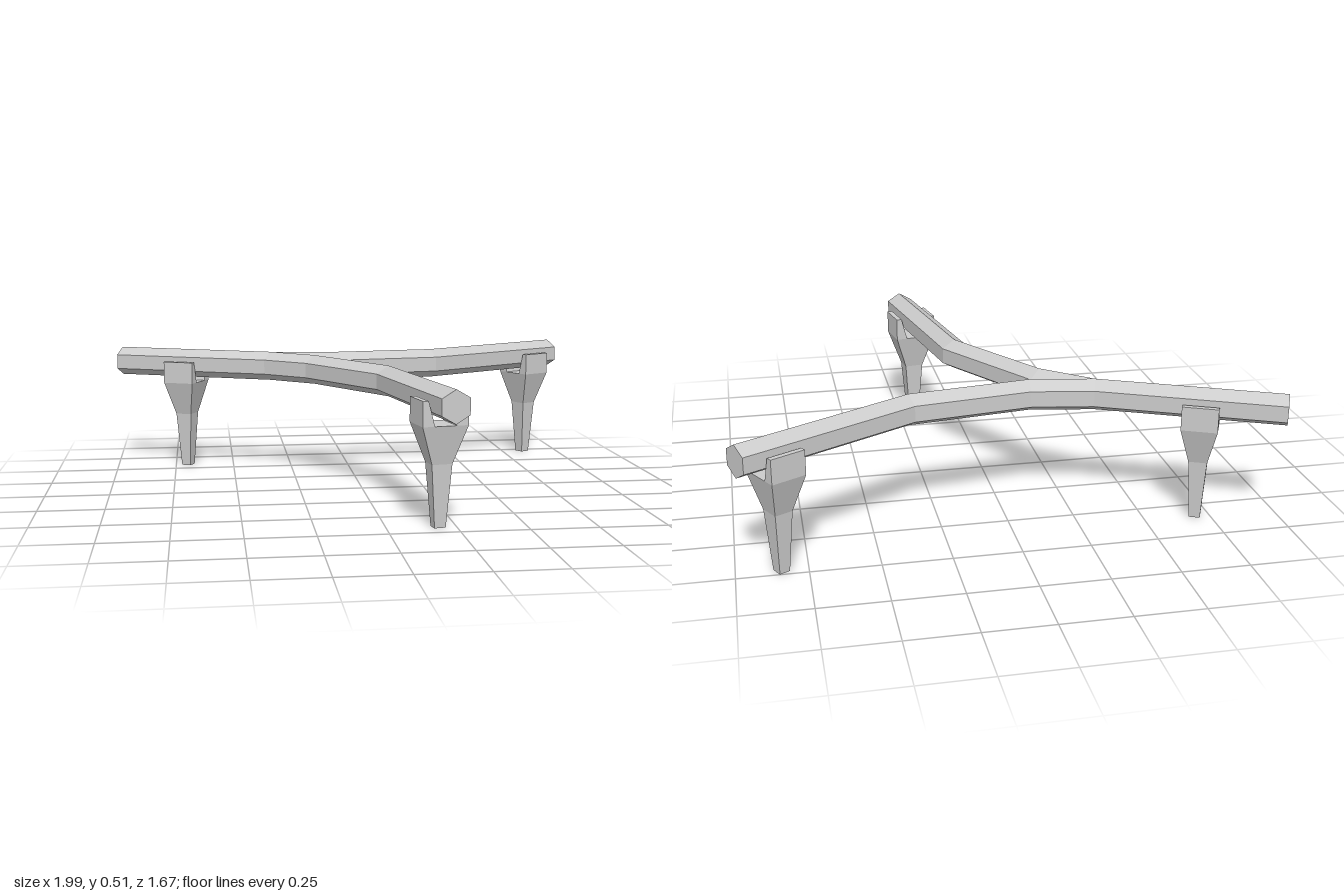
import * as THREE from 'three';

const material = new THREE.MeshStandardMaterial({ color: 0xcccccc, flatShading: true, side: THREE.DoubleSide });
const RADIUS = 0.06, AXIS_Y = 0.45;

// Skins a list of equal-sized rings (counter-clockwise about the travel direction) and caps both ends.
function loft(name, rings) {
  const n = rings[0].length, index = [];
  const last = (rings.length - 1) * n;
  for (let i = 0; i < rings.length - 1; i++) {
    for (let k = 0; k < n; k++) {
      const a = i * n + k, b = i * n + (k + 1) % n;
      index.push(a, b, b + n, a, b + n, a + n);
    }
  }
  for (let k = 1; k < n - 1; k++) {
    index.push(0, k + 1, k, last, last + k, last + k + 1);
  }
  const indexed = new THREE.BufferGeometry();
  indexed.setAttribute('position', new THREE.Float32BufferAttribute(rings.flat(2), 3));
  indexed.setIndex(index);
  const geometry = indexed.toNonIndexed();
  geometry.computeVertexNormals();
  const mesh = new THREE.Mesh(geometry, material);
  mesh.name = name;
  return mesh;
}

// Hexagonal beam with mitred bends, ridge upward; points are [x, z].
function beam(name, points, startDir) {
  const path = points.map(([x, z]) => new THREE.Vector2(x, z));
  const dirs = path.slice(1).map((p, i) => p.clone().sub(path[i]).normalize());
  const rings = path.map((p, i) => {
    const before = dirs[i - 1] || startDir || dirs[0];
    const after = dirs[i] || before;
    const along = before.clone().add(after).normalize();
    const stretch = 1 / along.dot(after);
    return Array.from({ length: 6 }, (_, k) => {
      const a = k * Math.PI / 3;
      const side = Math.sin(a) * RADIUS * stretch;
      return [p.x - along.y * side, AXIS_Y + Math.cos(a) * RADIUS, p.y + along.x * side];
    });
  });
  return loft(name, rings);
}

// Horizontal rectangle at height y, from x0 to x1, half depth d.
const rect = (y, x0, x1, d) => [[x1, y, d], [x1, y, -d], [x0, y, -d], [x0, y, d]];

// Tapered foot with two prongs cradling the beam; local z runs along the beam.
function forkedLeg(name, x, z, dx, dz) {
  const leg = new THREE.Group();
  leg.name = name;
  leg.add(loft('taperedPost', [
    rect(0, -0.021, 0.021, 0.02),
    rect(0.23, -0.038, 0.038, 0.034),
    rect(0.37, -0.085, 0.085, 0.066),
  ]));
  leg.add(loft('prongLeft', [rect(0.37, 0.04, 0.085, 0.066), rect(0.46, 0.064, 0.085, 0.066)]));
  leg.add(loft('prongRight', [rect(0.37, -0.085, -0.04, 0.066), rect(0.46, -0.085, -0.064, 0.066)]));
  leg.position.set(x, 0, z);
  leg.rotation.y = Math.atan2(dx, dz);
  return leg;
}

export function createModel() {
  const model = new THREE.Group();
  model.name = 'forkedBeamStand';

  // Main beam and the branch leaving it at its first bend
  const fork = [-0.34, -0.425];
  const start = [-0.975, -0.715];
  model.add(beam('mainBeam', [start, fork, [-0.1, -0.383], [0.355, -0.447], [0.972, -0.793]]));
  const startDir = new THREE.Vector2(fork[0] - start[0], fork[1] - start[1]).normalize();
  model.add(beam('branchBeam', [fork, [-0.165, -0.275], [0.087, 0.128], [0.214, 0.823]], startDir));

  // One leg near each free end
  model.add(forkedLeg('rightLeg', -0.697, -0.588, -0.635, -0.29));
  model.add(forkedLeg('leftLeg', 0.843, -0.721, 0.617, -0.346));
  model.add(forkedLeg('frontLeg', 0.185, 0.668, 0.127, 0.695));
  return model;
}
